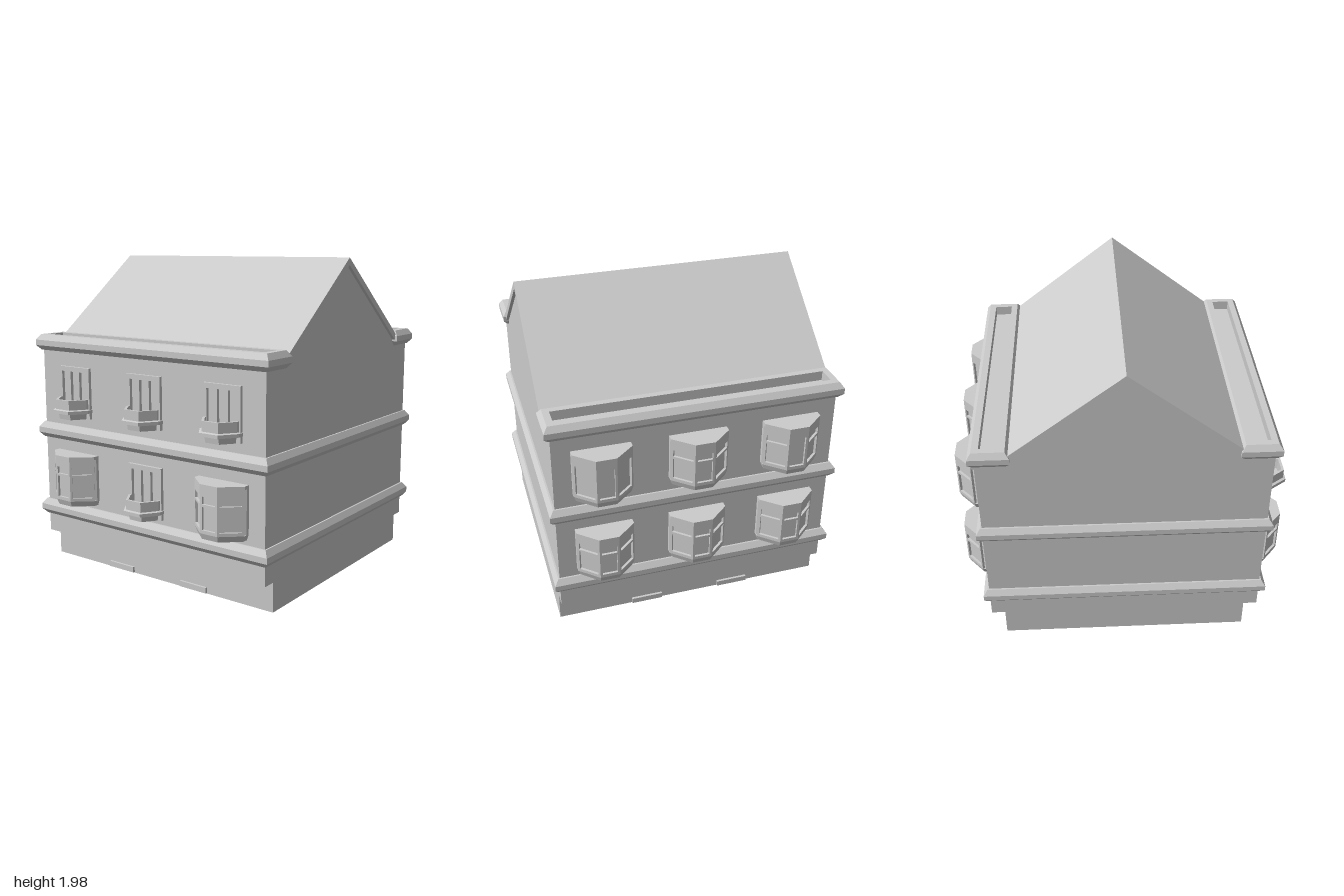
import * as THREE from 'three';

const grey = new THREE.MeshStandardMaterial({ color: 0xcccccc, flatShading: true });

function add(parent, name, geometry, x = 0, y = 0, z = 0) {
  const mesh = new THREE.Mesh(geometry, grey);
  mesh.name = name;
  mesh.position.set(x, y, z);
  parent.add(mesh);
  return mesh;
}

// Solid through a stack of convex rings, capped at both ends
function loft(rings) {
  const pos = [];
  const tri = (a, b, c) => pos.push(...a, ...b, ...c);
  const n = rings[0].length;
  for (let i = 0; i + 1 < rings.length; i++) {
    for (let j = 0; j < n; j++) {
      const k = (j + 1) % n;
      tri(rings[i][j], rings[i][k], rings[i + 1][k]);
      tri(rings[i][j], rings[i + 1][k], rings[i + 1][j]);
    }
  }
  const bottom = rings[0], top = rings[rings.length - 1];
  for (let j = 1; j + 1 < n; j++) {
    tri(bottom[0], bottom[j + 1], bottom[j]);
    tri(top[0], top[j], top[j + 1]);
  }
  const g = new THREE.BufferGeometry();
  g.setAttribute('position', new THREE.Float32BufferAttribute(pos, 3));
  g.computeVertexNormals();
  return g;
}

// Rectangular ring, shrunk by an inset
const rect = (x0, x1, hz, y, o) =>
  [[x1 - o, y, hz - o], [x1 - o, y, o - hz], [x0 + o, y, o - hz], [x0 + o, y, hz - o]];

// Bay outline projecting along +x; w = half width at the wall, tip = half width in front
function bayRing(w, tip, y, o = 0, side = o) {
  const len = Math.hypot(0.1, w - tip), nx = (w - tip) / len, nz = 0.1 / len;
  const c = nx * 0.04 + nz * w - o;
  const hx = (c - nz * (w - side)) / nx, tz = (c - nx * (0.14 - o)) / nz;
  const half = [[-0.01, y, w - side], [hx, y, w - side], [0.14 - o, y, tz]];
  return [...half, ...half.map(([a, b, z]) => [a, b, -z]).reverse()];
}

// Flat frame with rectangular openings [x0, x1, y0, y1]
function frame(w, h, depth, holes) {
  const box = (p, x0, x1, y0, y1) =>
    p.moveTo(x0, y0).lineTo(x1, y0).lineTo(x1, y1).lineTo(x0, y1).closePath();
  const shape = box(new THREE.Shape(), -w / 2, w / 2, 0, h);
  for (const hole of holes) shape.holes.push(box(new THREE.Path(), ...hole));
  return new THREE.ExtrudeGeometry(shape, { depth, bevelEnabled: false });
}

function bayWindow(splitSides, splitMiddle) {
  const g = new THREE.Group();
  g.name = 'bayWindow';
  const W = 0.175, T = 0.06, H = 0.32, D = 0.015;
  add(g, 'baySill', loft([bayRing(W, T, 0, 0.012), bayRing(W, T, 0.035)]));
  add(g, 'bayGlass', loft([bayRing(W, T, 0.03, D, 0), bayRing(W, T, 0.31, D, 0)]));
  add(g, 'bayCap', loft([bayRing(W, T, 0.3), bayRing(W, T, H)]));
  for (const s of [-1, 0, 1]) {
    const w = s ? Math.hypot(0.1, W - T) : 2 * T;
    const e = w / 2 - 0.014;
    const split = s ? splitSides : splitMiddle;
    const holes = split ? [[-e, e, 0.055, 0.19], [-e, e, 0.205, 0.25]] : [[-e, e, 0.055, 0.25]];
    const nx = s ? W - T : 1, nz = s * 0.1, len = Math.hypot(nx, nz);
    const x = (s ? 0.09 : 0.14) - D * nx / len, z = s * (W + T) / 2 - D * nz / len;
    add(g, 'bayFrame', frame(w, 0.27, D, holes.map(([a, b, c, d]) => [a, b, c - 0.035, d - 0.035])),
      x, 0.035, z).rotation.y = Math.atan2(nx, nz);
  }
  return g;
}

function balcony() {
  const g = new THREE.Group();
  g.name = 'balcony';
  const ring = (y, o) => bayRing(0.135, 0.065, y, o);
  // Floor, ledge and hollow parapet in one stack
  add(g, 'balconyParapet', loft([ring(0, 0.035), ring(0.035, 0.03), ring(0.04, 0), ring(0.06, 0),
    ring(0.065, 0.015), ring(0.125, 0.015), ring(0.125, 0.03), ring(0.05, 0.03)]));
  const slots = [-0.075, 0, 0.075].map((c) => [c - 0.028, c + 0.028, 0.03, 0.29]);
  add(g, 'balconyDoorFrame', frame(0.26, 0.32, 0.02, slots)).rotation.y = Math.PI / 2;
  return g;
}

export function createModel() {
  const model = new THREE.Group();
  model.name = 'house';

  // Walls with gable ends
  const wall = new THREE.Shape([[-0.86, 0.18], [0.86, 0.18], [0.86, 1.42], [0.67, 1.42], [0, 1.935],
    [-0.67, 1.42], [-0.86, 1.42]].map((p) => new THREE.Vector2(...p)));
  add(model, 'walls', new THREE.ExtrudeGeometry(wall, { depth: 1.72, bevelEnabled: false }), 0, 0, -0.86);
  add(model, 'foundation', new THREE.BoxGeometry(1.55, 0.18, 1.72), 0, 0.09, 0);

  // Pitched roof
  const roof = new THREE.Shape([[-0.67, 1.42], [0, 1.935], [0.67, 1.42], [0.67, 1.465], [0, 1.98],
    [-0.67, 1.465]].map((p) => new THREE.Vector2(...p)));
  add(model, 'roof', new THREE.ExtrudeGeometry(roof, { depth: 1.76, bevelEnabled: false }), 0, 0, -0.88);

  // Moulded bands between the storeys
  const moulding = [[0.025, 0], [0, 0.03], [0, 0.065], [0.025, 0.1]];
  for (const y of [0.3, 0.82]) {
    add(model, 'storeyBand', loft(moulding.map(([o, dy]) => rect(-0.895, 0.895, 0.895, y + dy, o))));
  }

  // Eaves with a sunken gutter
  const eaves = [...moulding, [0.065, 0.1], [0.065, 0.04]];
  for (const s of [-1, 1]) {
    add(model, 'eavesGutter', loft(eaves.map(([o, dy]) =>
      rect(s * 0.775 - 0.12, s * 0.775 + 0.12, 0.895, 1.39 + dy, o))));
    for (const z of [-0.29, 0.29]) {
      add(model, 'basementVent', new THREE.BoxGeometry(0.03, 0.035, 0.2), s * 0.775, 0.0225, z);
    }
  }

  // Windows on both long sides
  const place = (part, s, y, z) => {
    part.position.set(s * 0.86, y, z);
    if (s < 0) part.rotation.y = Math.PI;
    model.add(part);
  };
  for (const z of [-0.575, 0, 0.575]) {
    place(bayWindow(true, true), 1, 0.43, z);
    place(bayWindow(z <= 0, z === 0), 1, 0.98, z);
    place(z === 0 ? balcony() : bayWindow(true, true), -1, 0.43, z);
    place(balcony(), -1, 0.98, z);
  }
  return model;
}
